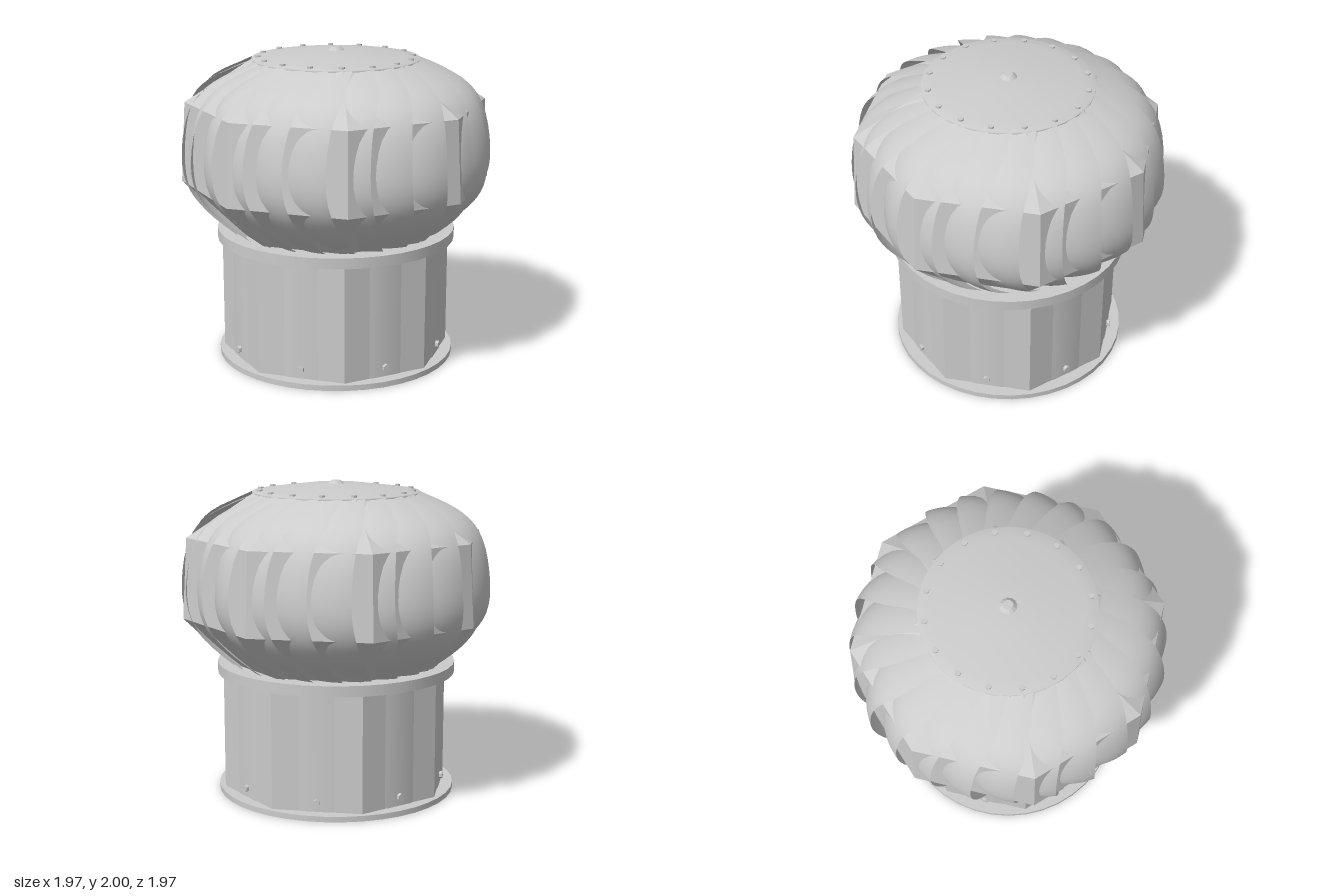
import * as THREE from 'three';

const flat = new THREE.MeshStandardMaterial({ color: 0xcccccc, flatShading: true });
const smooth = new THREE.MeshStandardMaterial({ color: 0xcccccc });
const thin = new THREE.MeshStandardMaterial({ color: 0xcccccc, side: THREE.DoubleSide });
const rad = THREE.MathUtils.degToRad;

export function createModel() {
  const model = new THREE.Group();

  const add = (name, geometry, material, parent = model) => {
    const mesh = new THREE.Mesh(geometry, material);
    mesh.name = name;
    parent.add(mesh);
    return mesh;
  };
  // Upright ring section from y0 to y1
  const drum = (name, r0, r1, y0, y1, sides, material, open = false) => {
    const g = new THREE.CylinderGeometry(r1, r0, y1 - y0, sides, 1, open);
    return add(name, g.translate(0, (y0 + y1) / 2, 0), material);
  };
  const group = (name) => {
    const g = new THREE.Group();
    g.name = name;
    model.add(g);
    return g;
  };

  // Neck: an eight-sided sleeve with a rounder pipe showing through its faces
  drum('baseFlange', 0.765, 0.765, 0, 0.035, 40, smooth);
  drum('neckSleeve', 0.735, 0.735, 0.03, 0.8, 8, flat);
  drum('neckPipe', 0.69, 0.69, 0.03, 0.8, 24, smooth);
  drum('upperFlange', 0.765, 0.765, 0.78, 0.848, 40, smooth);

  // Eight-sided turbine shell
  drum('lowerShell', 0.67, 0.985, 0.84, 1.15, 8, flat);
  drum('middleShell', 0.985, 0.955, 1.15, 1.66, 8, flat, true);
  drum('upperShell', 0.955, 0.53, 1.66, 1.93, 8, flat);

  // Curved vane: its leading edge follows a profile and twists at both ends
  const edge = new THREE.SplineCurve([
    [0.67, 0.84], [0.85, 1.0], [0.962, 1.17], [0.983, 1.38],
    [0.93, 1.64], [0.8, 1.8], [0.53, 1.93],
  ].map(([r, y]) => new THREE.Vector2(r, y)));
  const vane = new THREE.PlaneGeometry(1, 1, 8, 24);
  const pos = vane.attributes.position;
  for (let i = 0; i < pos.count; i++) {
    const back = 0.5 - pos.getX(i);
    const v = pos.getY(i) + 0.5;
    const p = edge.getPoint(v);
    const angle = rad(14 * (2 * v - 1) ** 2 - 17 * back);
    const r = p.x * (1 - 0.05 * back - 0.06 * back * back);
    pos.setXYZ(i, r * Math.sin(angle), p.y, r * Math.cos(angle));
  }
  vane.computeVertexNormals();
  const vanes = group('vanes');
  for (let i = 0; i < 24; i++) {
    add('vane', vane, thin, vanes).rotation.y = rad(7.5 + 15 * i);
  }

  // Shallow domed cap
  const cap = [[0.53, 1.922], [0.53, 1.934], [0.45, 1.945], [0.18, 1.98], [0, 1.98]];
  add('topCap', new THREE.LatheGeometry(cap.map(([r, y]) => new THREE.Vector2(r, y)), 40), thin);
  drum('capNut', 0.056, 0.03, 1.978, 2.0, 12, flat);

  // Bolts around the cap rim
  const capBolts = group('capBolts');
  const bolt = new THREE.CylinderGeometry(0.018, 0.018, 0.024, 8);
  for (let i = 0; i < 16; i++) {
    const a = rad(22.5 * i);
    add('capBolt', bolt, flat, capBolts).position.set(0.49 * Math.sin(a), 1.938, 0.49 * Math.cos(a));
  }

  // Hexagonal bolts at the foot of the neck
  const neckBolts = group('neckBolts');
  const hex = new THREE.CylinderGeometry(0.023, 0.023, 0.03, 6).rotateX(Math.PI / 2).translate(0, 0.095, 0.69);
  for (let i = 0; i < 8; i++) {
    add('neckBolt', hex, flat, neckBolts).rotation.y = rad(22.5 + 45 * i);
  }

  return model;
}
